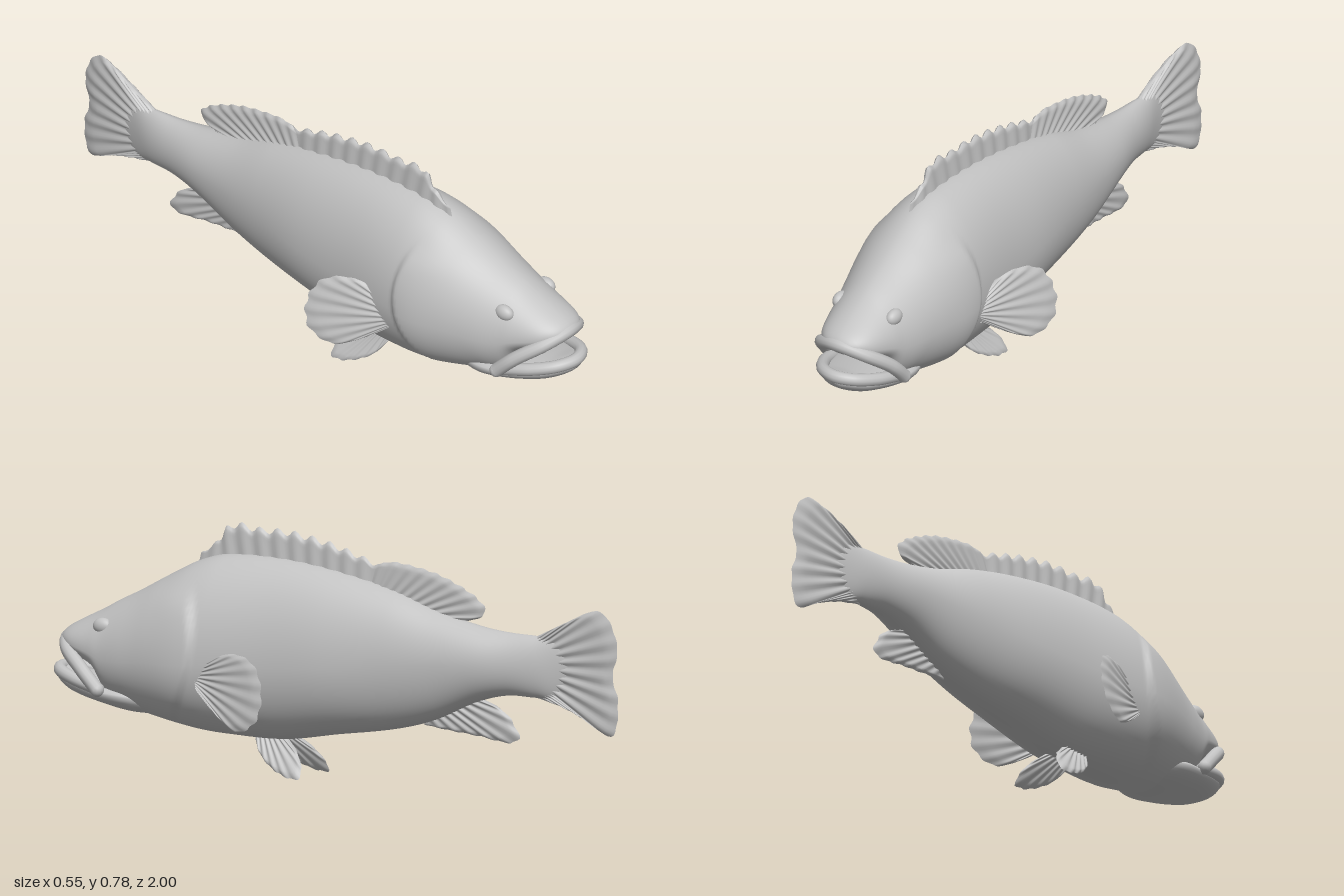
import * as THREE from 'three';

const skin = new THREE.MeshStandardMaterial({ color: 0xc2c2c2, side: THREE.DoubleSide });
skin.name = 'grey skin';

const smooth = t => THREE.MathUtils.smoothstep(t, 0, 1);

// Smooth lookup of column c in a table sorted by its first column
function sample(keys, z, c) {
  let i = 0;
  while (i < keys.length - 2 && z > keys[i + 1][0]) i++;
  const slope = k => {
    const a = keys[Math.max(k - 1, 0)], b = keys[Math.min(k + 1, keys.length - 1)];
    return (b[c] - a[c]) / (b[0] - a[0]);
  };
  const h = keys[i + 1][0] - keys[i][0], t = (z - keys[i][0]) / h, t2 = t * t, t3 = t2 * t;
  return (2 * t3 - 3 * t2 + 1) * keys[i][c] + (t3 - 2 * t2 + t) * h * slope(i)
    + (3 * t2 - 2 * t3) * keys[i + 1][c] + (t3 - t2) * h * slope(i + 1);
}

// Gentle sideways bend of the whole fish
const bend = [[-1, 0.025], [-0.75, 0.003], [-0.4, 0.008], [0, -0.002], [0.4, -0.008], [0.8, 0.012], [1, 0.025]];
const spine = z => sample(bend, z, 1);

function makeMesh(name, positions, index) {
  const geo = new THREE.BufferGeometry();
  geo.setAttribute('position', new THREE.Float32BufferAttribute(positions, 3));
  geo.setIndex(index);
  geo.computeVertexNormals();
  const mesh = new THREE.Mesh(geo, skin);
  mesh.name = name;
  return mesh;
}

// Egg-shaped sections; key = [z, top, bottom, height of widest point, half width]
function loft(name, keys, rings, seg, swell = () => 0) {
  const pos = [], idx = [], z0 = keys[0][0], z1 = keys[keys.length - 1][0];
  for (let i = 0; i <= rings; i++) {
    const z = z0 + (z1 - z0) * i / rings;
    const [top, bottom, mid, w] = [1, 2, 3, 4].map(c => sample(keys, z, c));
    for (let j = 0; j < seg; j++) {
      const a = j / seg * Math.PI * 2, c = Math.cos(a), s = Math.sin(a);
      const y = mid + s * (s > 0 ? top - mid : mid - bottom);
      const x = Math.sign(c) * Math.pow(Math.abs(c), s > 0 ? 1.12 : 0.95) * Math.max(w, 0.001);
      pos.push(spine(z) + x + c * swell(z, y), y, z);
      if (i < rings) {
        const p = i * seg + j, q = i * seg + (j + 1) % seg;
        idx.push(p, q, p + seg, q, q + seg, p + seg);
      }
    }
  }
  return makeMesh(name, pos, idx);
}

// Tapered two-sided fin between a root curve and a tip curve, points are [z, y]
function fin(name, root, tip, xAt, thick, rays, rag) {
  const curve = pts => new THREE.SplineCurve(pts.map(p => new THREE.Vector2(...p)));
  const r = curve(root), t = curve(tip), nu = rays * 6, nv = 12, pos = [], idx = [];
  for (const side of [1, -1]) {
    const base = pos.length / 3;
    for (let i = 0; i <= nu; i++) {
      const u = i / nu, a = r.getPointAt(u), b = t.getPointAt(u), wave = Math.cos(u * rays * Math.PI * 2);
      for (let j = 0; j <= nv; j++) {
        const v = j / nv, p = a.clone().lerp(b, v * (1 - rag * (0.5 - 0.5 * wave)));
        const edge = Math.sqrt(Math.min(1, 8 * Math.min(u, 1 - u), 8 * (1 - v)));
        const h = thick / 2 * (1 - 0.4 * v) * edge * (1 + 0.25 * wave);
        pos.push(xAt(p.x, p.y) + side * h, p.y, p.x);
        if (i < nu && j < nv) {
          const k = base + i * (nv + 1) + j, m = k + nv + 1;
          if (side > 0) idx.push(k, k + 1, m, k + 1, m + 1, m);
          else idx.push(k, m, k + 1, k + 1, m, m + 1);
        }
      }
    }
  }
  return makeMesh(name, pos, idx);
}

// Mirrored fleshy lip; half = points from the corner to the middle
function lip(name, half, radius) {
  const pts = [...half, ...half.slice(0, -1).reverse().map(([x, y, z]) => [-x, y, z])];
  const path = new THREE.CatmullRomCurve3(pts.map(([x, y, z]) => new THREE.Vector3(x + spine(z), y, z)));
  const mesh = new THREE.Mesh(new THREE.TubeGeometry(path, 60, radius, 12), skin);
  mesh.name = name;
  const group = new THREE.Group();
  group.name = name + 'Group';
  group.add(mesh);
  for (const p of [path.getPoint(0), path.getPoint(1)]) {
    const end = new THREE.Mesh(new THREE.SphereGeometry(radius, 12, 8), skin);
    end.name = name + 'Corner';
    end.position.copy(p);
    group.add(end);
  }
  return group;
}

export function createModel() {
  const fish = new THREE.Group();
  fish.name = 'fish';

  // Body and upper head, with a raised gill cover edge
  const gill = (z, y) => {
    const d = z - (0.42 + Math.pow((y - 0.42) / 0.28, 2) * 0.13);
    const window = smooth((1 - Math.abs(y - 0.36) / 0.24) * 3);
    return 0.015 * smooth(d / 0.02) * (1 - smooth(d / 0.24)) * window;
  };
  fish.add(loft('body', [
    [-0.84, 0.43, 0.40, 0.415, 0.004], [-0.78, 0.50, 0.32, 0.41, 0.018], [-0.7, 0.508, 0.315, 0.41, 0.04],
    [-0.6, 0.512, 0.315, 0.41, 0.06], [-0.5, 0.525, 0.29, 0.41, 0.08], [-0.35, 0.56, 0.222, 0.40, 0.10],
    [-0.2, 0.61, 0.18, 0.39, 0.122], [0, 0.655, 0.148, 0.37, 0.152], [0.2, 0.68, 0.117, 0.36, 0.17],
    [0.4, 0.68, 0.12, 0.355, 0.192], [0.5, 0.655, 0.13, 0.35, 0.197], [0.6, 0.605, 0.15, 0.35, 0.187],
    [0.7, 0.55, 0.175, 0.34, 0.165], [0.78, 0.51, 0.205, 0.34, 0.142], [0.82, 0.487, 0.285, 0.355, 0.13],
    [0.9, 0.447, 0.33, 0.375, 0.1], [0.94, 0.425, 0.352, 0.385, 0.07], [0.96, 0.408, 0.366, 0.386, 0.04],
    [0.97, 0.39, 0.382, 0.386, 0.003],
  ], 190, 64, gill));

  // Lower jaw and lips
  fish.add(loft('lowerJaw', [
    [0.58, 0.25, 0.165, 0.21, 0.09], [0.7, 0.26, 0.168, 0.225, 0.135], [0.8, 0.268, 0.188, 0.235, 0.13],
    [0.9, 0.28, 0.212, 0.255, 0.1], [0.95, 0.292, 0.235, 0.268, 0.07], [0.98, 0.296, 0.258, 0.278, 0.035],
    [0.99, 0.285, 0.275, 0.28, 0.003],
  ], 50, 40));
  fish.add(lip('upperLip', [[0.138, 0.245, 0.785], [0.128, 0.305, 0.845], [0.08, 0.362, 0.92], [0, 0.388, 0.952]], 0.022));
  fish.add(lip('lowerLip', [[0.122, 0.245, 0.79], [0.1, 0.268, 0.885], [0.056, 0.285, 0.955], [0, 0.29, 0.978]], 0.02));

  // Eyes
  for (const s of [1, -1]) {
    const eye = new THREE.Mesh(new THREE.SphereGeometry(1, 24, 16), skin);
    eye.name = s > 0 ? 'leftEye' : 'rightEye';
    eye.scale.set(0.022, 0.026, 0.034);
    eye.position.set(spine(0.79) + s * 0.1, 0.44, 0.785);
    fish.add(eye);
  }

  // Fins on the midline
  const ridge = z => -0.006 - 0.026 * z;
  fish.add(fin('spinyDorsalFin',
    [[0.52, 0.635], [0.4, 0.66], [0.2, 0.66], [0, 0.635], [-0.14, 0.61]],
    [[0.51, 0.675], [0.45, 0.72], [0.4, 0.78], [0.3, 0.772], [0.2, 0.772], [0.1, 0.758], [0, 0.735], [-0.14, 0.69]],
    ridge, 0.026, 11, 0.2));
  fish.add(fin('softDorsalFin',
    [[-0.09, 0.62], [-0.2, 0.59], [-0.3, 0.555], [-0.4, 0.525]],
    [[-0.1, 0.675], [-0.17, 0.70], [-0.25, 0.695], [-0.35, 0.675], [-0.45, 0.635], [-0.51, 0.595], [-0.515, 0.56], [-0.46, 0.538], [-0.4, 0.535]],
    ridge, 0.024, 12, 0.04));
  fish.add(fin('analFin',
    [[-0.29, 0.23], [-0.4, 0.27], [-0.5, 0.31]],
    [[-0.3, 0.2], [-0.4, 0.188], [-0.5, 0.178], [-0.58, 0.165], [-0.635, 0.17], [-0.635, 0.2], [-0.6, 0.25], [-0.55, 0.28], [-0.5, 0.292]],
    spine, 0.024, 9, 0.05));
  fish.add(fin('tailFin',
    [[-0.68, 0.5], [-0.7, 0.41], [-0.68, 0.325]],
    [[-0.7, 0.508], [-0.8, 0.557], [-0.9, 0.602], [-0.95, 0.595], [-0.985, 0.545], [-0.998, 0.48], [-0.98, 0.4],
      [-1, 0.335], [-0.995, 0.245], [-0.965, 0.215], [-0.9, 0.25], [-0.8, 0.29], [-0.7, 0.314]],
    spine, 0.03, 16, 0.012));

  // Paired fins
  for (const s of [1, -1]) {
    const side = s > 0 ? 'left' : 'right';
    fish.add(fin(side + 'PectoralFin',
      [[0.41, 0.35], [0.42, 0.31], [0.41, 0.27]],
      [[0.38, 0.365], [0.3, 0.4], [0.22, 0.4], [0.16, 0.365], [0.13, 0.29], [0.14, 0.22], [0.18, 0.182], [0.24, 0.17], [0.32, 0.21], [0.39, 0.26]],
      (z, y) => s * (0.185 + (0.38 - z) * 0.33 + (0.28 - y) * 0.17), 0.022, 12, 0.03));
    fish.add(fin(side + 'PelvicFin',
      [[0.31, 0.135], [0.26, 0.135], [0.2, 0.135]],
      [[0.3, 0.115], [0.26, 0.06], [0.2, 0.022], [0.14, 0.003], [0.11, 0.008], [0.112, 0.04], [0.14, 0.08], [0.18, 0.112]],
      (z, y) => -0.025 + s * (0.035 + (0.115 - y) * 0.55), 0.024, 8, 0.04));
  }
  return fish;
}
